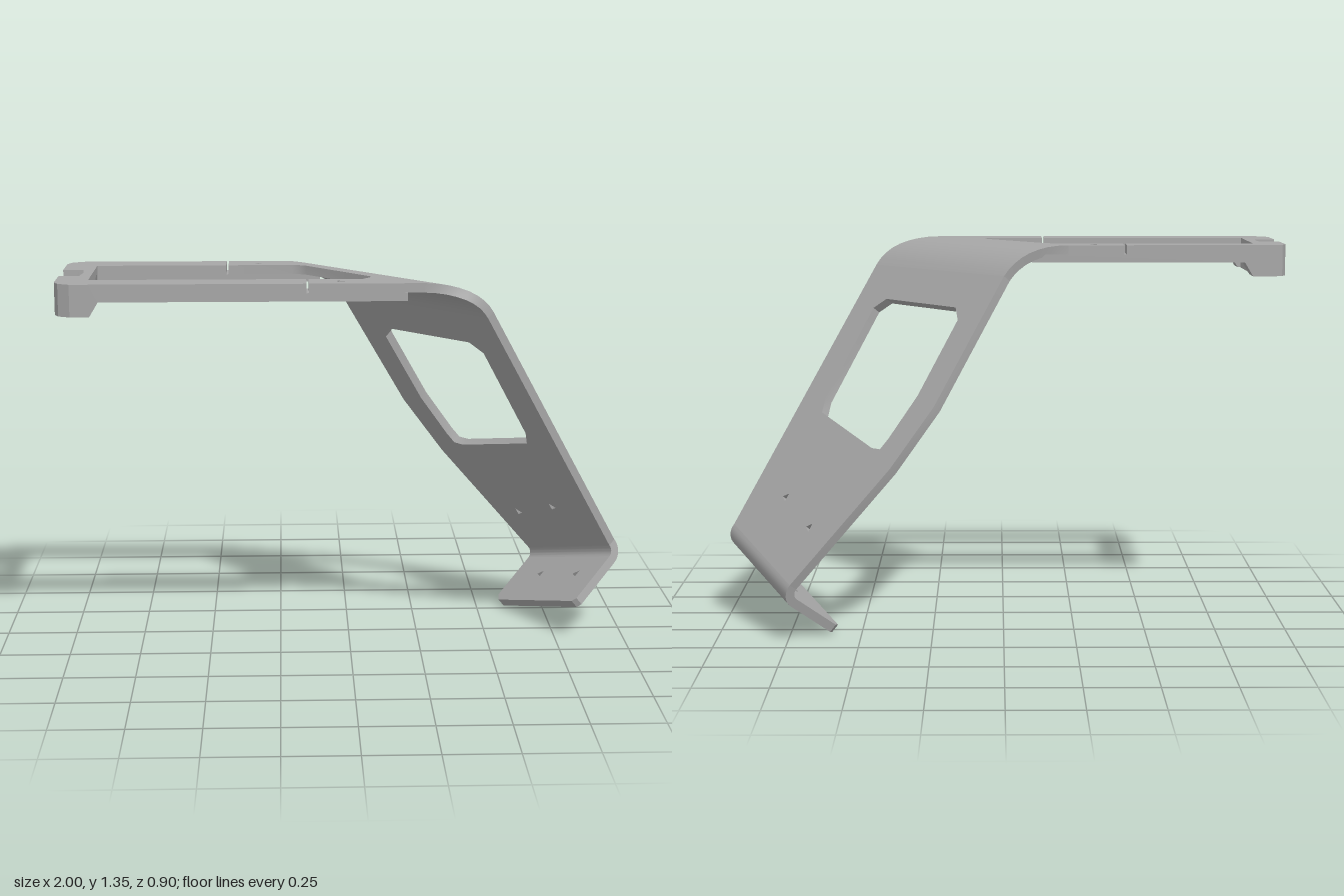
import * as THREE from 'three';
import { toCreasedNormals } from 'three/addons/utils/BufferGeometryUtils.js';

const V = (x, y, z) => new THREE.Vector3(x, y, z);
const metal = new THREE.MeshStandardMaterial({ color: 0xa6a6a6 });
metal.name = 'grey metal';

const TOP = 1.36, T = 0.032;              // top height, sheet thickness
const ANG = 54.5 * Math.PI / 180;         // first bend angle
const R1 = 0.25, R2 = 0.06;               // outer bend radii
const P0 = 0.036;                         // where the flat and sloping planes meet
const TAN = R1 * Math.tan(ANG / 2);

// Sheet axes: U along the first bend, P across it, S down the slope, N out of the slope
const U = V(0.637, 0, 0.771), P = V(0.771, 0, -0.637);
const S = P.clone().multiplyScalar(Math.cos(ANG)).add(V(0, -Math.sin(ANG), 0));
const N = U.clone().cross(S).normalize();
const slopeOrigin = P.clone().multiplyScalar(P0).setY(TOP);
const down = p => (p - P0) / Math.cos(ANG);
const onSlope = (u, v) => slopeOrigin.clone().addScaledVector(U, u).addScaledVector(S, v);

const ring = (x, y, r, sides, turn = 0) => Array.from({ length: sides }, (_, i) => {
  const a = turn + i * 2 * Math.PI / sides;
  return [x + r * Math.cos(a), y + r * Math.sin(a)];
});

// Plate whose outer face lies in the plane of X and Y, with its thickness behind
function plate(name, points, holes, origin, X, Y, depth) {
  const vec = list => list.map(([a, b]) => new THREE.Vector2(a, b));
  const shape = new THREE.Shape(vec(points));
  holes.forEach(h => shape.holes.push(new THREE.Path(vec(h))));
  const geo = new THREE.ExtrudeGeometry(shape, { depth, bevelEnabled: false });
  geo.translate(0, 0, -depth);
  const Z = X.clone().cross(Y).normalize();
  geo.applyMatrix4(new THREE.Matrix4().makeBasis(X, Y, Z).setPosition(origin));
  const mesh = new THREE.Mesh(toCreasedNormals(geo, 0.5), metal);
  mesh.name = name;
  return mesh;
}

// Horizontal plate from x, z points
const flat = (name, points, holes, top, depth) => plate(name,
  points.map(([x, z]) => [x, -z]), holes.map(h => h.map(([x, z]) => [x, -z])),
  V(0, top, 0), V(1, 0, 0), V(0, 0, -1), depth);

// Rolled sheet between the flat tabs and the slope
function mainBend() {
  const back = [-0.246, -0.222, -0.2, -0.183, -0.168, -0.157, -0.149, -0.142, -0.137];
  const front = [0.493, 0.518, 0.542, 0.565, 0.585, 0.599, 0.608, 0.613, 0.615];
  const pos = [], idx = [], n = back.length - 1;
  for (let i = 0; i <= n; i++) {
    const a = ANG * i / n;
    [[R1, back], [R1, front], [R1 - T, front], [R1 - T, back]].forEach(([r, edge]) => {
      const q = P.clone().multiplyScalar(P0 - TAN + r * Math.sin(a)).addScaledVector(U, edge[i]);
      pos.push(q.x, TOP - R1 + r * Math.cos(a), q.z);
    });
    if (i < n) for (let k = 0; k < 4; k++) {
      const a0 = i * 4 + k, a1 = i * 4 + (k + 1) % 4;
      idx.push(a0, a1, a0 + 4, a1, a1 + 4, a0 + 4);
    }
  }
  const geo = new THREE.BufferGeometry();
  geo.setAttribute('position', new THREE.Float32BufferAttribute(pos, 3));
  geo.setIndex(idx);
  const mesh = new THREE.Mesh(toCreasedNormals(geo, 0.5), metal);
  mesh.name = 'mainBend';
  return mesh;
}

export function createModel() {
  const g = new THREE.Group();
  g.name = 'bentBracket';

  // Rails with half-lap ends
  const rail = (name, zMax, joint, end) => g.add(plate(name, [
    [-0.88, 1.25], [-0.85, 1.3], [end, 1.3], [end, TOP - T],
    [joint, TOP - T], [joint, TOP], [-0.88, TOP]
  ], [], V(0, 0, zMax), V(1, 0, 0), V(0, 1, 0), 0.11));
  rail('frontRail', 0.44, -0.154, 0.185);
  rail('backRail', -0.02, -0.434, -0.1);

  // Rounded end corners, mirrored about the frame's middle line
  const mid = 0.155;
  for (const s of [1, -1]) {
    const corner = [[-0.88, 0.175], [-1, 0.175], [-1, 0.225], [-0.985, 0.262], [-0.945, 0.285], [-0.88, 0.285]];
    const pts = corner.map(([x, z]) => [x, mid + s * z]);
    g.add(flat(s > 0 ? 'frontCorner' : 'backCorner', pts, [], TOP, 0.11));

    // End bar with a stepped bolt hole
    const z = mid + s * 0.125;
    const box = [[-0.05, -0.055], [0.05, -0.055], [0.05, 0.055], [-0.05, 0.055]];
    g.add(plate('endBarOuter', box, [ring(0, 0, 0.016, 4, Math.PI / 4)],
      V(-0.945, 1.305, z), V(0, 0, -1), V(0, 1, 0), 0.055));
    g.add(plate('endBarInner', box, [ring(0, 0, 0.035, 6)],
      V(-0.89, 1.305, z), V(0, 0, -1), V(0, 1, 0), 0.055));
  }
  g.add(flat('notchWall', [[-0.89, 0.08], [-0.93, 0.08], [-0.922, 0.15], [-0.93, 0.23], [-0.89, 0.23]],
    [], TOP, 0.11));

  // Flat tabs of the sheet lying over the rails
  const start = u => {
    const q = P.clone().multiplyScalar(P0 - TAN).addScaledVector(U, u);
    return [q.x, q.z];
  };
  g.add(flat('sheetTabs', [
    [-0.146, 0.44], start(0.493), start(-0.246), [-0.426, -0.13], [-0.426, -0.02], [-0.2, -0.02],
    [-0.175, -0.015], [-0.15, 0], [0.065, 0.27], [0.068, 0.29], [0.04, 0.33], [-0.146, 0.33]
  ], [ring(-0.32, -0.07, 0.018, 3, Math.PI / 2), ring(-0.04, 0.385, 0.018, 3)], TOP, T));

  g.add(mainBend());

  // Sloping panel with its window and screw holes, points as bend position and projected distance
  const F = [0.615, 1.252], B = [0.122, 1.409];
  const toSlope = list => list.map(([u, p]) => [u, down(p)]);
  const window = toSlope([[0.031, 0.194], [0.444, 0.192], [0.491, 0.217], [0.483, 0.444], [0.459, 0.477],
    [0.077, 0.533], [0.031, 0.532], [0.016, 0.506], [-0.017, 0.403], [-0.016, 0.222]]);
  g.add(plate('slopingPanel', [
    [0.615, TAN], F, B, ...toSlope([[-0.075, 0.569], [-0.132, 0.421]]), [-0.137, TAN]
  ], [window, ring(0.186, down(0.728), 0.018, 3), ring(0.404, down(0.678), 0.018, 3)],
  slopeOrigin, U, S, T));

  // Lower bend: E runs along it, W points out of the foot flange
  const f = onSlope(...F), b = onSlope(...B);
  const E = b.clone().sub(f), len = E.length();
  E.normalize();
  const W = E.clone().cross(N).normalize();
  const arc = r => Array.from({ length: 9 }, (_, i) => {
    const a = i * Math.PI / 16;
    return [r * Math.cos(a), r * Math.sin(a)];
  });
  g.add(plate('footBend', [...arc(R2), ...arc(R2 - T).reverse()], [],
    b.clone().addScaledVector(N, -R2), N, W, len));

  // Foot flange
  const drop = -0.29;
  g.add(plate('footFlange', [
    [0, -R2], [0, drop + 0.015], [0.015, drop], [len - 0.03, drop], [len, drop + 0.03], [len, -R2]
  ], [0.124, 0.35].map(a => ring(a, -0.15, 0.018, 3)),
  f.clone().addScaledVector(W, R2), E, N, T));

  return g;
}
